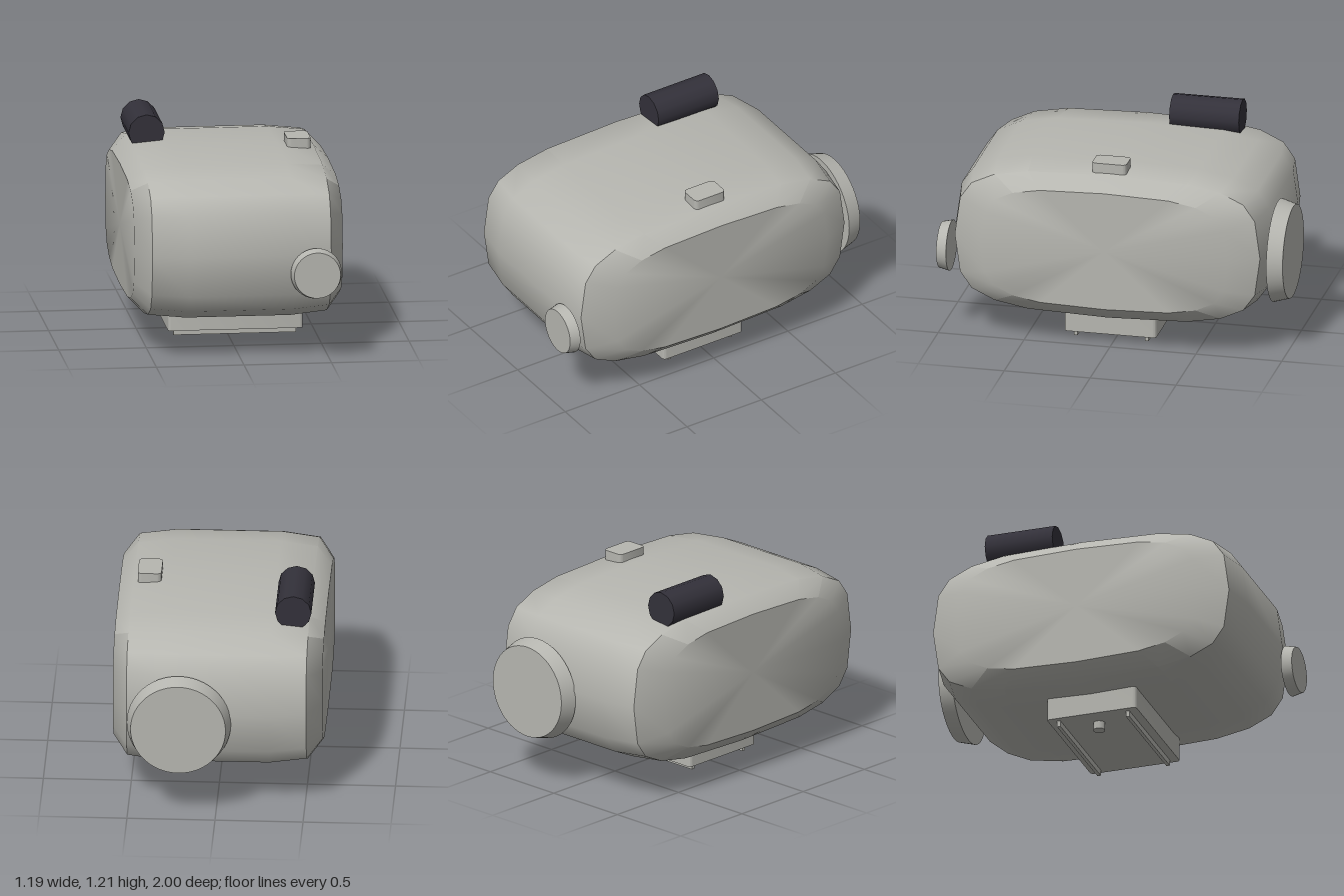
import * as THREE from 'three';
import { toCreasedNormals } from 'three/addons/utils/BufferGeometryUtils.js';

const shell = new THREE.MeshStandardMaterial({ name: 'grey shell', color: 0xb6b6b0 });
const dark = new THREE.MeshStandardMaterial({ name: 'dark grip', color: 0x33313a });

// Housing: rings in the z-y plane lofted along x, closed by flat ends
function bodyGeometry() {
  const quarter = [[1, 0], [0.965, 0.52], [0.89, 0.74], [0.74, 0.885], [0.52, 0.967], [0, 1]];
  const ring = [
    ...quarter,
    ...quarter.slice(0, -1).reverse().map(([z, y]) => [-z, y]),
    ...quarter.slice(1).map(([z, y]) => [-z, -y]),
    ...quarter.slice(1, -1).reverse().map(([z, y]) => [z, -y]),
  ];
  // x, half depth, half height
  const half = [[0.3, 0.928, 0.45], [0.51, 0.888, 0.432], [0.595, 0.72, 0.352]];
  const stations = [...half.slice().reverse().map(([x, d, h]) => [-x, d, h]), ...half];
  const cy = 0.614, cz = 0.0125, n = ring.length;
  const pos = [], idx = [];
  for (const [x, d, h] of stations)
    for (const [z, y] of ring) pos.push(x, cy + y * h, cz + z * d);
  const last = stations.length - 1;
  for (let s = 0; s < last; s++)
    for (let j = 0; j < n; j++) {
      const a = s * n + j, b = s * n + (j + 1) % n;
      idx.push(a, a + n, b, b, a + n, b + n);
    }
  const c0 = pos.length / 3, c1 = c0 + 1;
  pos.push(-0.595, cy, cz, 0.595, cy, cz);
  for (let j = 0; j < n; j++) {
    const k = (j + 1) % n;
    idx.push(c0, j, k, c1, last * n + k, last * n + j);
  }
  const g = new THREE.BufferGeometry();
  g.setAttribute('position', new THREE.Float32BufferAttribute(pos, 3));
  g.setIndex(idx);
  return toCreasedNormals(g, 0.74);
}

// Block with rounded upright corners, standing on y = 0
function roundedBlock(w, h, d, r) {
  const x = w / 2, y = d / 2, s = new THREE.Shape();
  s.absarc(x - r, y - r, r, 0, Math.PI / 2);
  s.absarc(-x + r, y - r, r, Math.PI / 2, Math.PI);
  s.absarc(-x + r, -y + r, r, Math.PI, Math.PI * 1.5);
  s.absarc(x - r, -y + r, r, Math.PI * 1.5, Math.PI * 2);
  const g = new THREE.ExtrudeGeometry(s, { depth: h, bevelEnabled: false, curveSegments: 4 });
  return toCreasedNormals(g.rotateX(-Math.PI / 2), 0.6);
}

export function createModel() {
  const model = new THREE.Group();
  const add = (name, geometry, material, x = 0, y = 0, z = 0) => {
    const m = new THREE.Mesh(geometry, material);
    m.name = name;
    m.position.set(x, y, z);
    model.add(m);
    return m;
  };

  add('body', bodyGeometry(), shell);

  // Tapered round windows at front and back
  const frontDisc = new THREE.CylinderGeometry(0.132, 0.146, 0.06, 40).rotateX(Math.PI / 2);
  add('frontLens', frontDisc, shell, 0.42, 0.508, 0.97);
  const backDisc = new THREE.CylinderGeometry(0.27, 0.296, 0.09, 48).rotateX(-Math.PI / 2);
  add('rearLens', backDisc, shell, 0.21, 0.56, -0.955);

  // Controls on top
  const grip = new THREE.CylinderGeometry(0.103, 0.103, 0.405, 12).rotateX(Math.PI / 2);
  add('topRoll', grip, dark, -0.422, 1.102, -0.358);
  add('topButton', roundedBlock(0.135, 0.085, 0.2, 0.025), shell, 0.418, 1.02, 0.01);

  // Mounting foot, rails and locating pin
  add('mountBlock', roundedBlock(0.77, 0.16, 0.535, 0.02), shell, 0.035, 0.045, 0.018);
  for (const z of [0.225, -0.189])
    add('mountRail', new THREE.BoxGeometry(0.7, 0.045, 0.02), shell, 0.035, 0.0325, z);
  add('mountPin', new THREE.CylinderGeometry(0.035, 0.035, 0.06, 10), shell, -0.212, 0.03, 0.018);

  return model;
}
